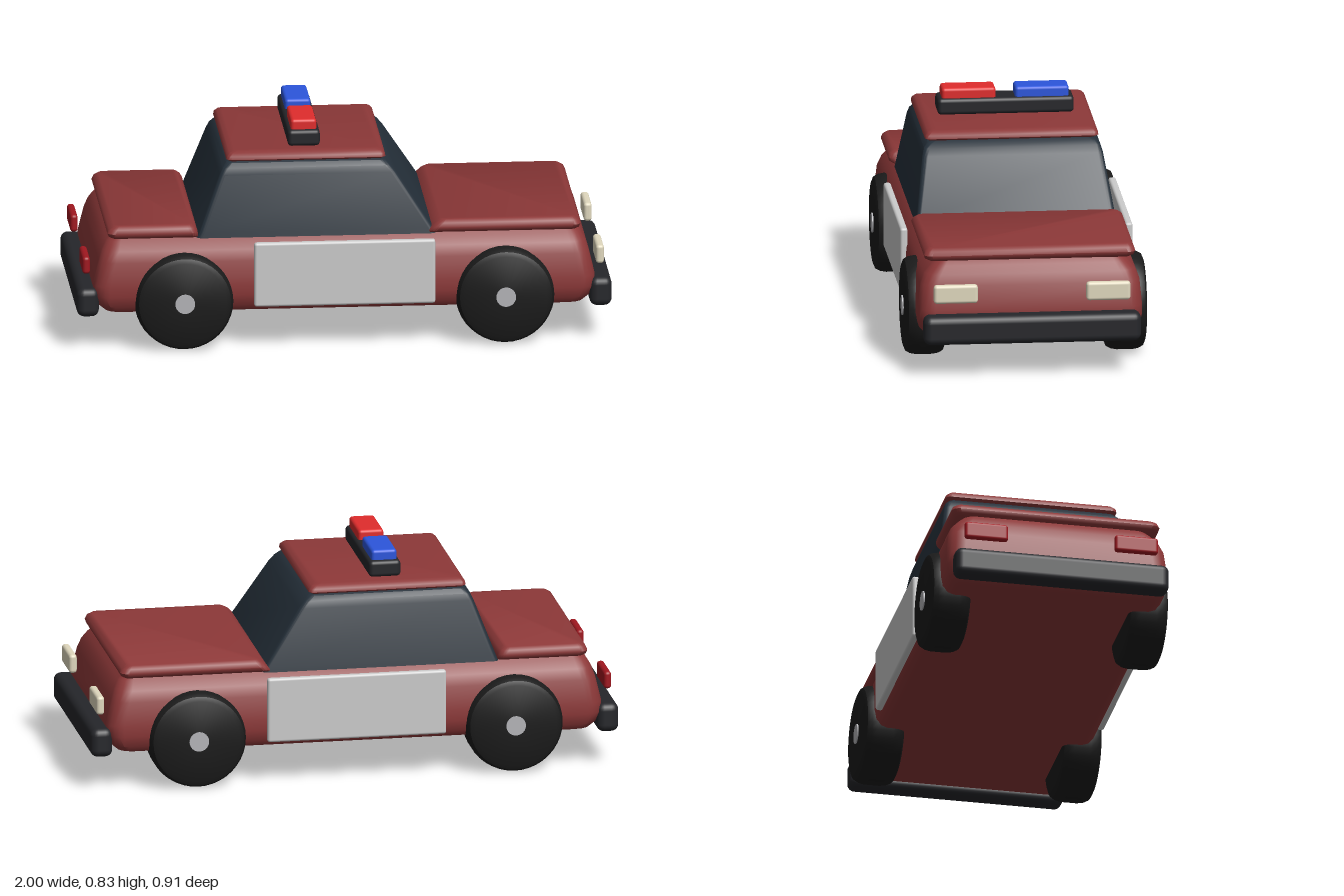
import * as THREE from 'three';
import { toCreasedNormals } from 'three/addons/utils/BufferGeometryUtils.js';
import { RoundedBoxGeometry } from 'three/addons/geometries/RoundedBoxGeometry.js';

const material = (color) => new THREE.MeshStandardMaterial({ color });
const paint = material(0x8c3838);
const glass = material(0x25303a);
const rubber = material(0x1a1a1a);
const trim = material(0x25262a);
const metal = material(0xb4b4b8);
const panel = material(0xd0d1d3);
const cream = material(0xe0d8be);
const tailRed = material(0xa01820);
const red = material(0xe02c2c);
const blue = material(0x2c56dc);

// Outline of a rounded rectangle seen from above, as [x, z] corners
function outline(x0, x1, hz, r) {
  const points = [];
  const steps = 5;
  const centres = [[x1 - r, hz - r], [x0 + r, hz - r], [x0 + r, r - hz], [x1 - r, r - hz]];
  centres.forEach(([cx, cz], q) => {
    for (let i = 0; i <= steps; i++) {
      const a = (q + i / steps) * Math.PI / 2;
      points.push([cx + r * Math.cos(a), cz + r * Math.sin(a)]);
    }
  });
  return points;
}

// Closed solid through stacked rounded rectangles: [y, x0, x1, halfZ, radius]
function loft(levels, crease = 0.6) {
  const positions = [];
  const index = [];
  const count = 24;
  for (const [y, x0, x1, hz, r] of levels) {
    for (const [x, z] of outline(x0, x1, hz, r)) positions.push(x, y, z);
  }
  for (let l = 0; l < levels.length - 1; l++) {
    for (let i = 0; i < count; i++) {
      const a = l * count + i;
      const b = l * count + (i + 1) % count;
      index.push(a, a + count, b, b, a + count, b + count);
    }
  }
  const top = (levels.length - 1) * count;
  for (let i = 1; i < count - 1; i++) {
    index.push(0, i, i + 1);
    index.push(top, top + i + 1, top + i);
  }
  const geometry = new THREE.BufferGeometry();
  geometry.setAttribute('position', new THREE.Float32BufferAttribute(positions, 3));
  geometry.setIndex(index);
  return toCreasedNormals(geometry, crease);
}

function add(parent, name, geometry, mat) {
  const mesh = new THREE.Mesh(geometry, mat);
  mesh.name = name;
  parent.add(mesh);
  return mesh;
}

// Rounded box given by its limits on each axis
function block(parent, name, mat, [x0, x1], [y0, y1], [z0, z1], r) {
  const geometry = new RoundedBoxGeometry(x1 - x0, y1 - y0, z1 - z0, 3, r);
  const mesh = add(parent, name, geometry, mat);
  mesh.position.set((x0 + x1) / 2, (y0 + y1) / 2, (z0 + z1) / 2);
  return mesh;
}

// Tyre with softened shoulders and a small hub, outer face towards +z
function makeWheel(name) {
  const wheel = new THREE.Group();
  wheel.name = name;
  const profile = [[0, -0.075], [0.155, -0.075], [0.172, -0.068], [0.181, -0.052], [0.185, -0.03],
    [0.185, 0.03], [0.181, 0.052], [0.172, 0.068], [0.155, 0.075], [0, 0.075]];
  const tyre = new THREE.LatheGeometry(profile.map(([x, y]) => new THREE.Vector2(x, y)), 40);
  add(wheel, 'tyre', toCreasedNormals(tyre.rotateX(Math.PI / 2), 0.5), rubber);
  const hub = new THREE.CylinderGeometry(0.037, 0.037, 0.02, 24).rotateX(Math.PI / 2);
  add(wheel, 'hub', hub, metal).position.z = 0.07;
  return wheel;
}

export function createModel() {
  const car = new THREE.Group();
  car.name = 'car';

  // Lower body, bulging at mid height
  add(car, 'body', loft([
    [0.14, -0.87, 0.87, 0.37, 0.04],
    [0.148, -0.893, 0.893, 0.395, 0.05],
    [0.17, -0.918, 0.918, 0.413, 0.06],
    [0.21, -0.937, 0.937, 0.42, 0.06],
    [0.25, -0.938, 0.938, 0.419, 0.06],
    [0.34, -0.917, 0.917, 0.411, 0.06],
    [0.38, -0.903, 0.903, 0.395, 0.06],
    [0.41, -0.885, 0.885, 0.367, 0.05],
    [0.43, -0.865, 0.865, 0.345, 0.04],
  ]), paint);

  // Hood and trunk lids with rounded rims
  add(car, 'hood', loft([
    [0.425, 0.31, 0.868, 0.375, 0.02],
    [0.433, 0.316, 0.88, 0.391, 0.03],
    [0.447, 0.328, 0.885, 0.396, 0.03],
    [0.463, 0.343, 0.878, 0.39, 0.03],
    [0.474, 0.362, 0.86, 0.375, 0.02],
  ], 0.8), paint);
  add(car, 'trunk', loft([
    [0.425, -0.868, -0.545, 0.375, 0.02],
    [0.433, -0.88, -0.545, 0.391, 0.03],
    [0.447, -0.885, -0.547, 0.396, 0.03],
    [0.463, -0.878, -0.555, 0.39, 0.03],
    [0.474, -0.86, -0.57, 0.375, 0.02],
  ], 0.8), paint);

  // Glazed cabin and roof
  add(car, 'cabin', loft([
    [0.42, -0.55, 0.345, 0.375, 0.02],
    [0.44, -0.541, 0.335, 0.372, 0.02],
    [0.65, -0.462, 0.198, 0.338, 0.02],
    [0.675, -0.45, 0.178, 0.33, 0.02],
    [0.692, -0.435, 0.16, 0.315, 0.02],
    [0.702, -0.415, 0.135, 0.29, 0.02],
  ], 0.45), glass);
  add(car, 'roof', loft([
    [0.698, -0.425, 0.148, 0.312, 0.015],
    [0.706, -0.435, 0.16, 0.325, 0.02],
    [0.718, -0.433, 0.158, 0.323, 0.02],
    [0.729, -0.423, 0.148, 0.312, 0.02],
    [0.734, -0.405, 0.13, 0.295, 0.02],
  ], 0.8), paint);

  // Signal bar on the roof
  block(car, 'signalBarBase', trim, [-0.2, -0.08], [0.733, 0.795], [-0.255, 0.255], 0.015);
  block(car, 'redSignal', red, [-0.188, -0.092], [0.785, 0.833], [0.037, 0.239], 0.012);
  block(car, 'blueSignal', blue, [-0.188, -0.092], [0.785, 0.833], [-0.237, -0.035], 0.012);

  // Bumpers
  block(car, 'frontBumper', trim, [0.917, 1], [0.13, 0.24], [-0.407, 0.407], 0.028);
  block(car, 'rearBumper', trim, [-1, -0.917], [0.13, 0.24], [-0.407, 0.407], 0.028);

  // Wheels, door panels and lamps, mirrored left and right of the driving line
  for (const side of [1, -1]) {
    const end = side > 0 ? 'Right' : 'Left';
    for (const x of [0.6, -0.6]) {
      const wheel = makeWheel((x > 0 ? 'front' : 'rear') + end + 'Wheel');
      wheel.position.set(x, 0.188, side * 0.375);
      if (side < 0) wheel.rotation.y = Math.PI;
      car.add(wheel);
    }
    const z = (a, b) => (side > 0 ? [a, b] : [-b, -a]);
    block(car, 'doorPanel' + end, panel, [-0.34, 0.337], [0.165, 0.412], z(0.407, 0.435), 0.01);
    block(car, 'headlight' + end, cream, [0.943, 0.973], [0.285, 0.356], z(0.203, 0.368), 0.012);
    block(car, 'tailLight' + end, tailRed, [-0.977, -0.949], [0.288, 0.354], z(0.203, 0.368), 0.012);
  }
  return car;
}
